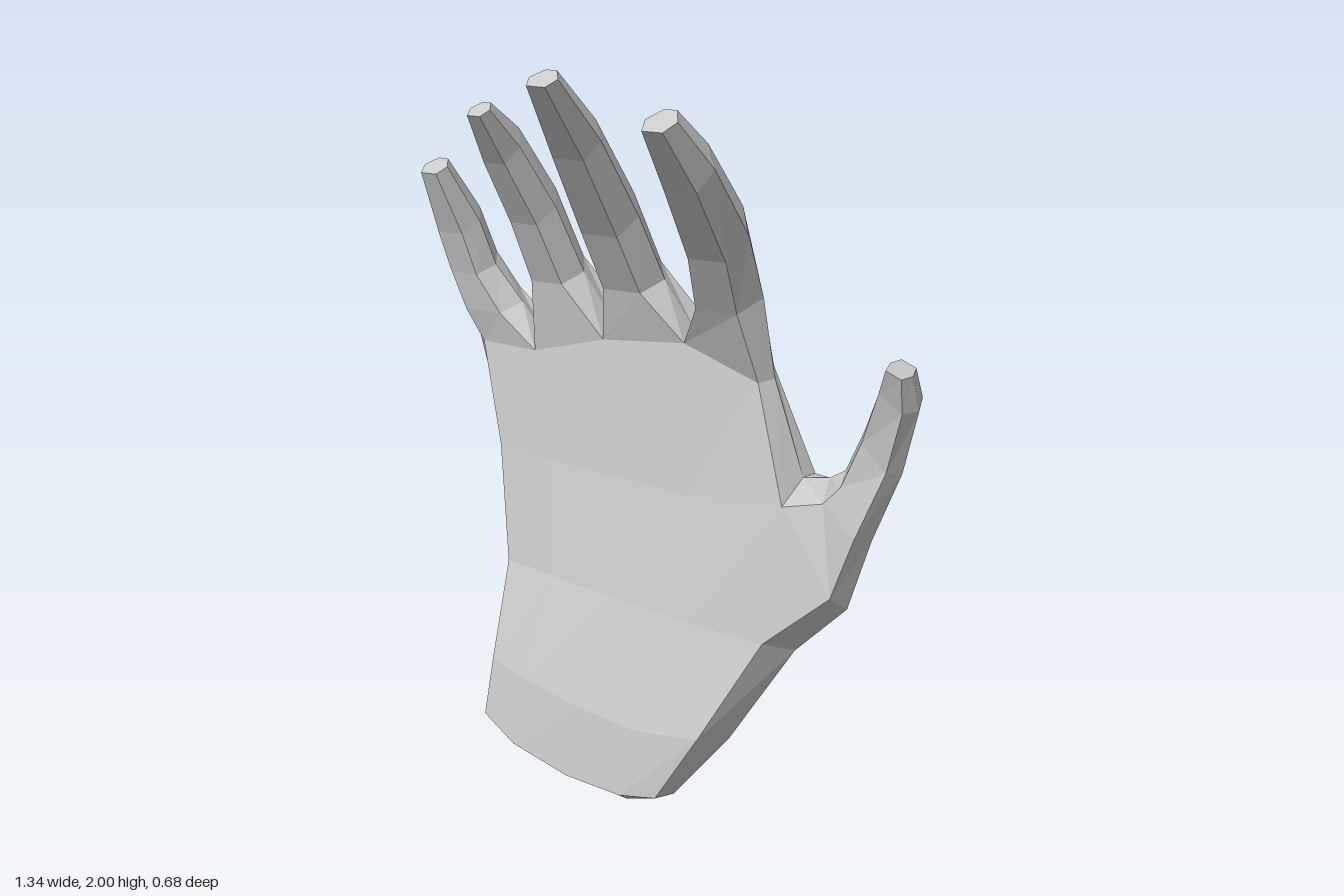
import * as THREE from 'three';

const V = (x, y, z) => new THREE.Vector3(x, y, z);
const material = new THREE.MeshStandardMaterial({ color: 0xcccccc, flatShading: true });

// Flat-shaded mesh from a list of quads (corners counter-clockwise from outside)
function quadMesh(name, quads) {
  const pts = [];
  for (const [a, b, c, d] of quads) pts.push(a, b, c, a, c, d);
  const geometry = new THREE.BufferGeometry().setFromPoints(pts);
  geometry.computeVertexNormals();
  const mesh = new THREE.Mesh(geometry, material);
  mesh.name = name;
  return mesh;
}

// Quads joining successive rings; skip(row, column) leaves an opening
function loft(rings, skip = () => false) {
  const quads = [];
  for (let r = 0; r + 1 < rings.length; r++) {
    const a = rings[r], b = rings[r + 1], n = a.length;
    for (let i = 0; i < n; i++) {
      const j = (i + 1) % n;
      if (!skip(r, i)) quads.push([a[i], a[j], b[j], b[i]]);
    }
  }
  return quads;
}

// A digit is a lofted six-sided tube with a flat tip
function digit(name, rings) {
  const t = rings[rings.length - 1];
  return quadMesh(name, [...loft(rings), [t[0], t[1], t[2], t[3]], [t[0], t[3], t[4], t[5]]]);
}

// Palm rows: front points from little-finger side to thumb side, depths, and the thumb-side ridge point
const rows = [
  { p: [[-.47, .20], [-.37, .14], [-.20, .09], [-.04, .07], [.06, .08]], f: .055, b: -.17, out: [.07, .05] },
  { p: [[-.455, .36], [-.34, .33], [-.17, .29], [-.01, .26], [.17, .27]], f: .03, b: -.28, out: [.20, .22] },
  { p: [[-.45, .62], [-.30, .61], [-.13, .59], [.11, .56], [.31, .54]], f: -.055, b: -.335, out: [.35, .48] },
  { p: [[-.50, .93], [-.35, .92], [-.16, .91], [.08, .89], [.33, .90]], f: -.11, b: -.345, out: [.345, .95] },
  { p: [[-.57, 1.2], [-.40, 1.2], [-.19, 1.26], [.04, 1.28], [.24, 1.2]], f: -.15, b: -.305, out: [.26, 1.2] },
];
const bulge = [1, .3, 0, .2, .8];

// Twelve points per row: five front, thumb-side ridge, five back, little-finger-side ridge
function palmRing({ p, f, b, out }, row) {
  const mid = (f + b) / 2;
  const front = p.map(([x, y], i) => V(x, y, f - bulge[i] * .025));
  const back = p.map(([x, y], i) => V(x, y + (row === 4 ? .02 : 0), b + bulge[i] * .05));
  if (row === 3) back[4].set(.35, .94, -.295);
  const ridge = V(p[0][0] - (row ? .045 : .02), p[0][1] - (row ? 0 : .03), mid);
  return [...front, V(out[0], out[1], mid), ...back.reverse(), ridge];
}

// Finger ring across x0..x1, tilted by the finger's bend direction (ty, tz); the back is narrower
function fingerRing([x0, x1, y, z, depth], ty, tz) {
  const len = Math.hypot(ty, tz), w = x1 - x0;
  const at = (t, s) => V(x0 + w * t, y - s * depth / 2 * tz / len, z + s * depth / 2 * ty / len);
  return [at(.18, 1), at(.82, 1), at(1, 0), at(.7, -1), at(.3, -1), at(0, 0)];
}

// Sections: x0, x1, y, z, depth
const fingers = {
  littleFinger: [[-.635, -.47, 1.31, -.215, .14], [-.655, -.535, 1.41, -.19, .13], [-.67, -.555, 1.53, -.15, .12], [-.66, -.59, 1.685, -.06, .075]],
  ringFinger: [[-.41, -.27, 1.42, -.195, .15], [-.42, -.30, 1.60, -.11, .14], [-.42, -.325, 1.77, .015, .115], [-.39, -.335, 1.875, .13, .065]],
  middleFinger: [[-.195, -.03, 1.43, -.185, .16], [-.20, -.045, 1.61, -.075, .15], [-.18, -.05, 1.82, .10, .12], [-.13, -.055, 1.985, .285, .075]],
  indexFinger: [[.075, .25, 1.42, -.17, .18], [.105, .262, 1.60, -.05, .17], [.135, .265, 1.79, .145, .13], [.165, .245, 1.915, .29, .095]],
};

// Thumb sections: inner x, y; outer x, y; front depth at inner and outer edge; back depth
const thumbSections = [
  [.43, .975, .50, .64, -.13, -.08, -.26],
  [.475, 1.005, .56, .84, -.125, -.08, -.245],
  [.525, 1.12, .63, 1.03, -.115, -.10, -.23],
  [.58, 1.26, .67, 1.20, -.075, -.075, -.22],
  [.61, 1.325, .668, 1.30, -.045, -.045, -.15],
];

function thumbRing([ix, iy, ox, oy, fi, fo, b]) {
  const at = (t, z) => V(ix + (ox - ix) * t, iy + (oy - iy) * t, z);
  const mid = (fo + b) / 2;
  return [at(.14, fi), at(.82, fo), at(1, mid), at(.8, b), at(.15, b), at(0, (fi + b) / 2)];
}

export function createModel() {
  const hand = new THREE.Group();
  hand.name = 'hand';

  // Palm, left open where the thumb grows out
  const rings = rows.map(palmRing);
  hand.add(quadMesh('palm', loft(rings, (r, i) => r === 2 && (i === 4 || i === 5))));

  // Wrist end: two bevelled strips meeting on a curved ridge
  const base = rings[0];
  const keel = [base[11], V(-.39, .07, -.05), V(-.23, .02, -.05), V(-.07, 0, -.05), base[5]];
  const wrist = [];
  for (let i = 0; i < 4; i++) {
    wrist.push([keel[i], keel[i + 1], base[i + 1], base[i]]);
    wrist.push([keel[i + 1], keel[i], base[10 - i], base[9 - i]]);
  }
  hand.add(quadMesh('wrist', wrist));

  // Fingers, each rooted on one column of the palm's top edge
  const top = rings[4];
  const webs = [top[11]];
  for (let i = 1; i < 4; i++) webs.push(top[i].clone().lerp(top[10 - i], .5));
  webs.push(top[5]);
  Object.entries(fingers).forEach(([name, sections], i) => {
    const root = [top[i], top[i + 1], webs[i + 1], top[9 - i], top[10 - i], webs[i]];
    const path = sections.map((s, k) => {
      if (k === 0) return fingerRing(s, 1, .3);
      if (k === 3) return fingerRing(s, 1, .4);
      const a = sections[k - 1], b = sections[k + 1];
      return fingerRing(s, b[2] - a[2], b[3] - a[3]);
    });
    hand.add(digit(name, [root, ...path]));
  });

  // Thumb, rooted on the palm's side opening
  const lo = rings[2], hi = rings[3];
  hand.add(digit('thumb', [[hi[4], lo[4], lo[5], lo[6], hi[6], hi[5]], ...thumbSections.map(thumbRing)]));
  return hand;
}
